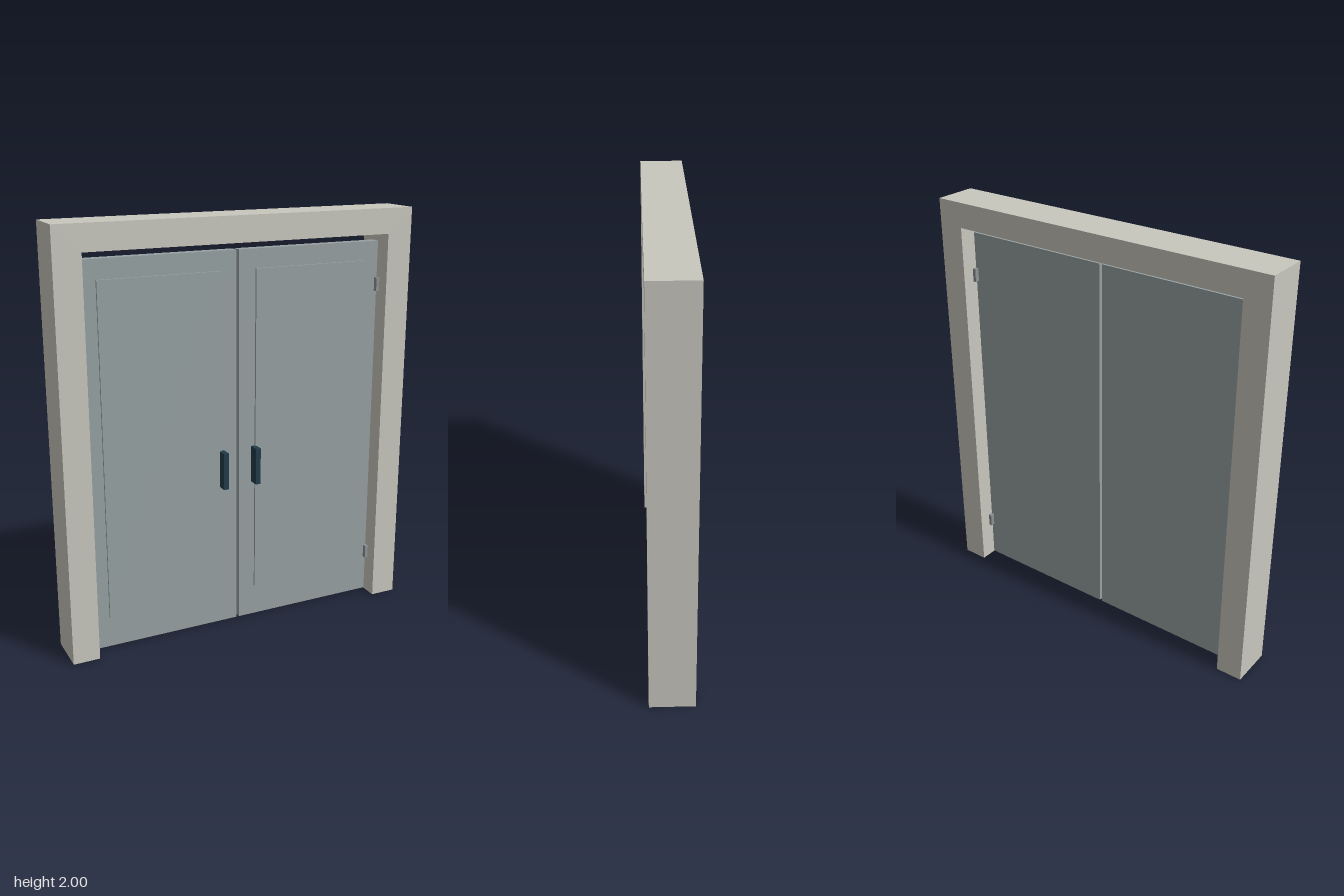
import * as THREE from 'three';

export function createModel() {
  const model = new THREE.Group();
  model.name = 'doubleDoor';

  const mat = (name, color) => {
    const m = new THREE.MeshStandardMaterial({ color });
    m.name = name;
    return m;
  };
  const framePaint = mat('framePaint', 0xc8c7be);
  const doorPaint = mat('doorPaint', 0x97a1a3);
  const hingeMetal = mat('hingeMetal', 0x8c9496);
  const handleMetal = mat('handleMetal', 0x1f3c48);

  // Box given by its lower and upper corners
  const box = (name, material, [x0, y0, z0], [x1, y1, z1]) => {
    const mesh = new THREE.Mesh(new THREE.BoxGeometry(x1 - x0, y1 - y0, z1 - z0), material);
    mesh.position.set((x0 + x1) / 2, (y0 + y1) / 2, (z0 + z1) / 2);
    mesh.name = name;
    return mesh;
  };

  // Surround: two jambs and a lintel in one extruded outline
  const outline = new THREE.Shape([
    [-0.877, 0], [-0.75, 0], [-0.75, 1.88], [0.75, 1.88],
    [0.75, 0], [0.877, 0], [0.877, 2], [-0.877, 2],
  ].map(([x, y]) => new THREE.Vector2(x, y)));
  const frameGeometry = new THREE.ExtrudeGeometry(outline, { depth: 0.21, bevelEnabled: false });
  frameGeometry.translate(0, 0, -0.105);
  const frame = new THREE.Mesh(frameGeometry, framePaint);
  frame.name = 'frame';
  model.add(frame);

  // Two mirrored leaves, each with a raised panel, handle and hinges
  for (const side of [-1, 1]) {
    const leaf = new THREE.Group();
    leaf.name = side > 0 ? 'leftLeaf' : 'rightLeaf';
    const part = (name, material, [x0, y0, z0], [x1, y1, z1]) => {
      const [a, b] = side > 0 ? [x0, x1] : [-x1, -x0];
      leaf.add(box(name, material, [a, y0, z0], [b, y1, z1]));
    };
    part('door', doorPaint, [0.007, 0.005, -0.024], [0.747, 1.84, 0.024]);
    part('raisedPanel', doorPaint, [0.09, 0.16, 0.02], [0.67, 1.75, 0.034]);
    part('handle', handleMetal, [0.072, 0.72, 0.024], [0.097, 0.9, 0.077]);
    for (const y of [0.19, 1.6]) {
      part('hinge', hingeMetal, [0.734, y, -0.045], [0.752, y + 0.065, 0.045]);
    }
    model.add(leaf);
  }

  return model;
}
